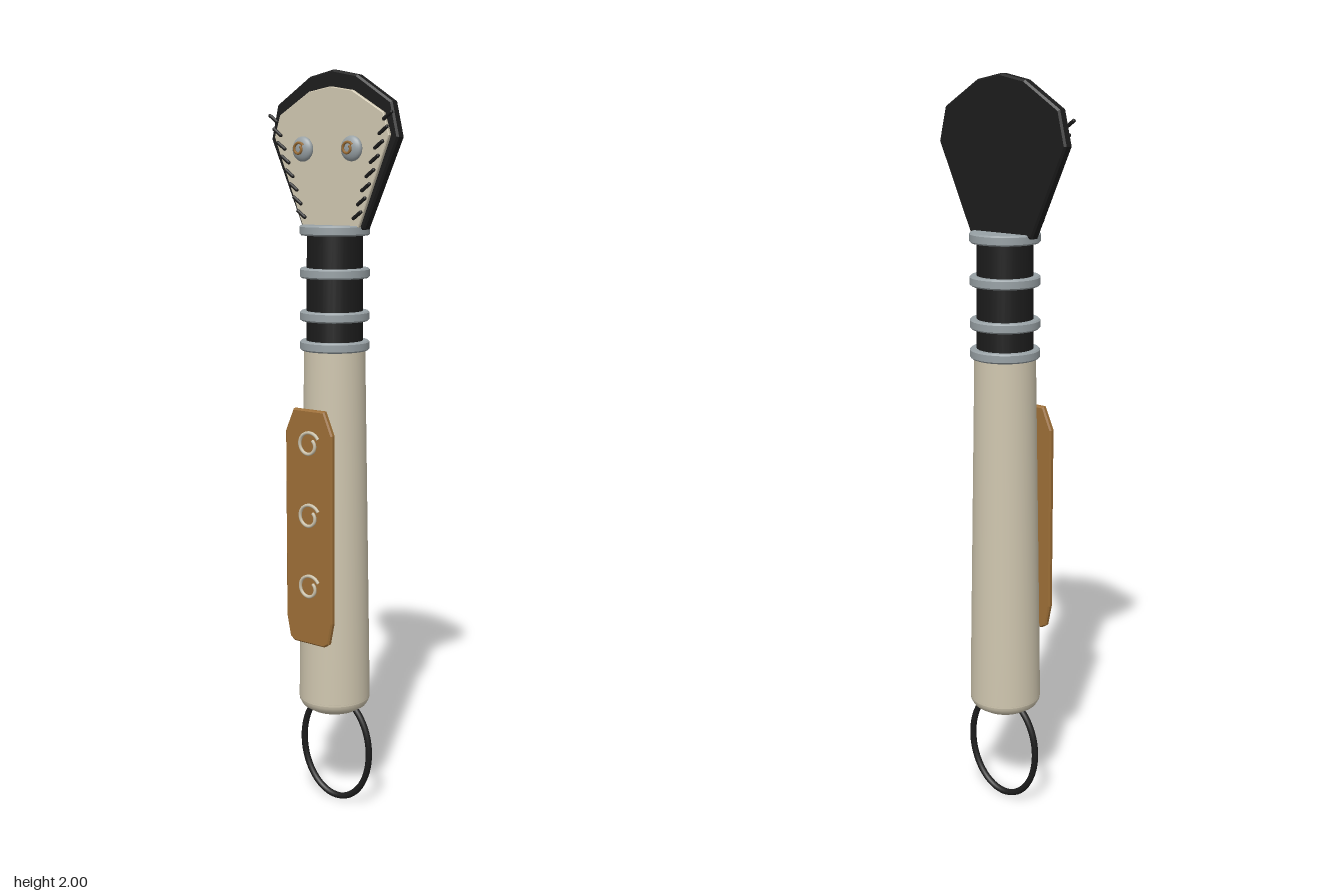
import * as THREE from 'three';

const mat = (name, color, side = THREE.FrontSide) => {
  const m = new THREE.MeshStandardMaterial({ color, side });
  m.name = name;
  return m;
};

export function createModel() {
  const bone = mat('bone', 0xcfc6af);
  const black = mat('black leather', 0x1c1c1c);
  const silver = mat('silver', 0x98a1a5);
  const wood = mat('amber wood', 0x9c6e36);
  const model = new THREE.Group();
  model.name = 'handledTool';
  const axisZ = -0.016;

  const add = (name, geometry, material, x = 0, y = 0, z = 0) => {
    const mesh = new THREE.Mesh(geometry, material);
    mesh.name = name;
    mesh.position.set(x, y, z);
    model.add(mesh);
    return mesh;
  };
  const lathe = (pts) => new THREE.LatheGeometry(pts.map(([r, y]) => new THREE.Vector2(r, y)), 32);

  // Plate from an outline, filling z0..z1 with a small bevel inside the outline
  const plate = (pts, z0, z1, bevel) => {
    const shape = new THREE.Shape(pts.map(([x, y]) => new THREE.Vector2(x, y)));
    const g = new THREE.ExtrudeGeometry(shape, {
      depth: z1 - z0 - 2 * bevel, bevelEnabled: bevel > 0, bevelThickness: bevel,
      bevelSize: bevel, bevelOffset: -bevel, bevelSegments: 1,
    });
    return g.translate(0, 0, z0 + bevel);
  };
  // Mirrors a right-hand outline, listed bottom to top and ending on the centre line
  const mirrored = (half) => [...half, ...half.slice(0, -1).reverse().map(([x, y]) => [-x, y])];

  // Tapered grip with rounded pommel
  add('grip', lathe([[0.098, 0.315], [0.096, 0.45], [0.081, 1.29]]), bone, 0, 0, axisZ);
  add('pommel', lathe([[0, 0.275], [0.04, 0.277], [0.07, 0.283], [0.09, 0.296], [0.097, 0.309], [0.098, 0.32]]),
    bone, 0, 0, axisZ);

  // Wrapped neck with metal collars
  add('neck', new THREE.CylinderGeometry(0.073, 0.075, 0.31, 32), black, 0, 1.445, axisZ);
  for (const y of [1.297, 1.375, 1.487, 1.597]) {
    const h = 0.013;
    add('collar', lathe([[0, -h], [0.088, -h], [0.088, -h], [0.092, -h + 0.004], [0.092, -h + 0.004],
      [0.092, h - 0.004], [0.092, h - 0.004], [0.088, h], [0.088, h], [0, h]]), silver, 0, y, axisZ);
  }

  // Head: dark backing and pale face plate
  add('headBacking', plate(mirrored([[0.1, 1.6], [0.203, 1.83], [0.182, 1.917], [0.075, 1.985], [0, 2]]),
    -0.036, -0.006, 0.005), black);
  add('headFace', plate(mirrored([[0.09, 1.605], [0.183, 1.835], [0.165, 1.89], [0.068, 1.947], [0, 1.958]]),
    -0.007, 0.005, 0.002), bone);

  // Slanted stitches, eye studs and their inlaid curls on both sides
  const curl = (radius, tube) => {
    const pts = [];
    for (let i = 0; i <= 18; i++) {
      const a = 0.5 + (i / 18) * Math.PI * 2.1;
      const r = radius * (1 - 0.5 * i / 18);
      pts.push(new THREE.Vector3(r * Math.cos(a), r * Math.sin(a), 0));
    }
    return new THREE.TubeGeometry(new THREE.CatmullRomCurve3(pts), 40, tube, 6);
  };
  for (const s of [-1, 1]) {
    for (let i = 0; i < 8; i++) {
      const t = i / 7;
      const stitch = add('stitch', new THREE.CapsuleGeometry(0.005, 0.027, 3, 8), black,
        s * (0.182 - 0.092 * t), 1.882 - 0.245 * t, 0.01);
      stitch.rotation.z = -s * 0.95;
    }
    const stud = add('stud', new THREE.SphereGeometry(0.032, 24, 14), silver, s * 0.078, 1.803, 0.018);
    stud.scale.z = 0.45;
    add('studCurl', curl(0.017, 0.0035), wood, s * 0.078 - 0.002, 1.803, 0.034);
  }

  // Inlaid panel with three raised curls
  add('panel', plate(mirrored([[0.05, 0.495], [0.065, 0.505], [0.077, 0.565], [0.077, 1.075], [0.05, 1.137], [0, 1.137]]),
    0.083, 0.1, 0.004), wood);
  for (const y of [0.655, 0.85, 1.045]) add('panelCurl', curl(0.036, 0.0045), bone, 0.004, y, 0.104);

  // Hanging cord loop
  const loop = new THREE.CatmullRomCurve3(Array.from({ length: 24 }, (_, i) => {
    const a = (i / 24) * Math.PI * 2;
    return new THREE.Vector3(0.113 * Math.sin(a), 0.16 - 0.151 * Math.cos(a), 0);
  }), true);
  add('cordLoop', new THREE.TubeGeometry(loop, 64, 0.009, 8, true), black, 0, 0, -0.024);

  return model;
}
